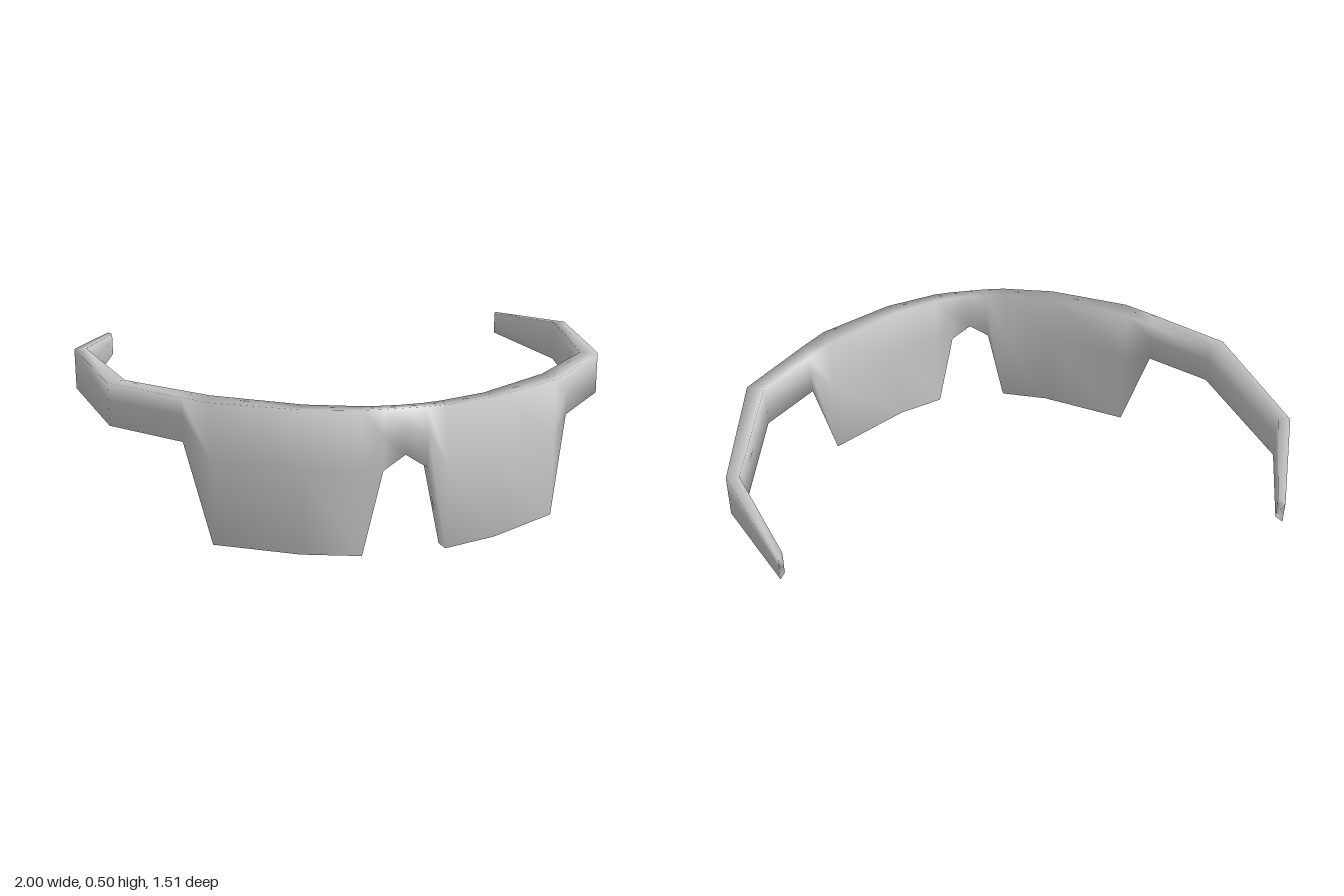
import * as THREE from 'three';

// Columns from the nose to the temple tip:
// outer x, outer z, inward offset x, inward offset z, top y, bottom y, front bulge
const HALF = [
  [0, 0.757, 0, -0.04, 0.5, 0.345, 1],
  [0.075, 0.757, 0, -0.045, 0.5, 0.295, 1],
  [0.145, 0.75, -0.008, -0.05, 0.5, 0, 1],
  [0.34, 0.685, -0.03, -0.055, 0.5, 0, 0.6],
  [0.61, 0.525, -0.015, -0.09, 0.5, 0, 0.3],
  [0.69, 0.435, -0.015, -0.09, 0.5, 0.345, 0],
  [0.915, 0.185, -0.062, -0.025, 0.5, 0.345, 0],
  [1, -0.35, -0.045, 0, 0.5, 0.345, 0],
  [0.845, -0.757, -0.015, 0.03, 0.465, 0.38, 0],
];
const ROWS = [0, 0.4, 1];
const BULGE = [-0.022, 0, -0.008]; // wall leans back at the top and the bottom

// Closed cross-section: down the outer wall, up the inner wall
function section([x, z, dx, dz, top, bottom, bulge], side) {
  const wall = (inner) => ROWS.map((f, r) => [
    side * (x + inner * dx),
    top + (bottom - top) * f,
    z + inner * dz + BULGE[r] * bulge,
  ]);
  return [...wall(0), ...wall(1).reverse()];
}

// Skin of the shell, with capped ends
function loft(sections) {
  const n = sections[0].length;
  const last = (sections.length - 1) * n;
  const index = [];
  for (let i = 0; i < sections.length - 1; i++) {
    for (let j = 0; j < n; j++) {
      const a = i * n + j;
      const d = i * n + (j + 1) % n;
      index.push(a, d, d + n, a, d + n, a + n);
    }
  }
  for (let k = 1; k < n - 1; k++) {
    index.push(0, k + 1, k, last, last + k, last + k + 1);
  }
  const geometry = new THREE.BufferGeometry();
  geometry.setAttribute('position', new THREE.Float32BufferAttribute(sections.flat(2), 3));
  geometry.setIndex(index);
  geometry.computeVertexNormals();
  return geometry;
}

export function createModel() {
  const group = new THREE.Group();
  group.name = 'wraparoundGlasses';

  // One continuous shell: right temple, lenses with nose notch, left temple
  const right = HALF.slice(1).reverse().map((c) => section(c, -1));
  const left = HALF.map((c) => section(c, 1));
  const shell = new THREE.Mesh(
    loft([...right, ...left]),
    new THREE.MeshStandardMaterial({ color: 0xcccccc }),
  );
  shell.name = 'lensAndTempleShell';
  group.add(shell);
  return group;
}
